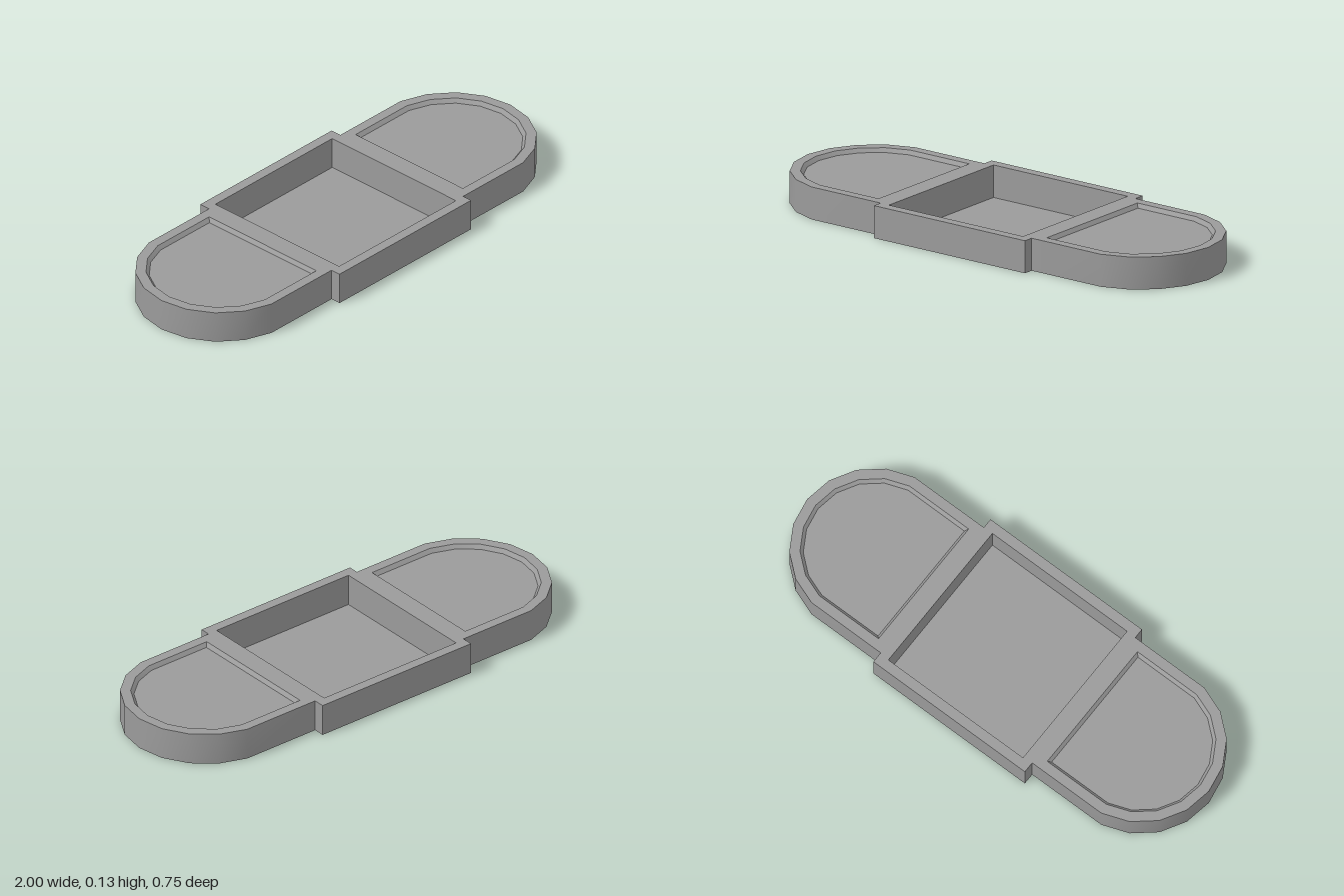
import * as THREE from 'three';
import { toCreasedNormals } from 'three/addons/utils/BufferGeometryUtils.js';

const TOP = 0.134;      // rim height
const PAN = 0.118;      // floor of the shallow end pans
const ARC = 0.663;      // centre of the rounded ends
const SHIFT = -0.002;   // the ends sit slightly forward of the centre block
const material = new THREE.MeshStandardMaterial({ color: 0x9b9b9b, side: THREE.DoubleSide });

const toPoints = pairs => pairs.map(p => new THREE.Vector2(...p));
const rectangle = (x, z) => toPoints([[-x, -z], [x, -z], [x, z], [-x, z]]);
const mirrored = points => points.map(p => new THREE.Vector2(-p.x, p.y)).reverse();

// Points of a rounded end, from one long side round to the other
function endArc(radius) {
  const pairs = [];
  for (let a = -80; a <= 80; a += 20) {
    const t = THREE.MathUtils.degToRad(a);
    pairs.push([ARC + radius * Math.cos(t), SHIFT + radius * Math.sin(t)]);
  }
  return pairs;
}

// Arc closed towards the middle by two straight sides ending at x = inner
function endOutline(radius, inner) {
  const arc = endArc(radius);
  return [[inner, arc[0][1]], ...arc, [inner, arc[arc.length - 1][1]]];
}

// Whole outline: two rounded ends and a wider centre block
function bodyOutline() {
  const half = toPoints([[0.377, -0.377], ...endOutline(0.337, 0.377), [0.377, 0.377]]);
  return [...half, ...mirrored(half)];
}

// Flat sheet facing up, with optional openings
function sheet(points, y, holes = []) {
  const shape = new THREE.Shape(points);
  shape.holes = holes.map(h => new THREE.Path(h));
  return new THREE.ShapeGeometry(shape).rotateX(-Math.PI / 2).translate(0, y, 0);
}

// Closed band between a lower and an upper outline
function band(lower, y0, upper, y1) {
  const n = lower.length, positions = [], index = [];
  for (let i = 0; i < n; i++) {
    positions.push(lower[i].x, y0, -lower[i].y, upper[i].x, y1, -upper[i].y);
    const a = 2 * i, b = 2 * ((i + 1) % n);
    index.push(a, b, b + 1, a, b + 1, a + 1);
  }
  const geometry = new THREE.BufferGeometry();
  geometry.setAttribute('position', new THREE.Float32BufferAttribute(positions, 3));
  geometry.setIndex(index);
  return toCreasedNormals(geometry, 0.6);
}

export function createModel() {
  const model = new THREE.Group();
  model.name = 'dividedTray';
  const add = (name, geometry) => {
    const mesh = new THREE.Mesh(geometry, material);
    mesh.name = name;
    model.add(mesh);
  };

  const body = bodyOutline();
  const well = rectangle(0.335, 0.335);
  const panTop = toPoints(endOutline(0.295, 0.42));
  const panFloor = toPoints(endOutline(0.282, 0.432));

  // Outer wall, open underneath, and the rim with three openings
  add('outerWall', band(body, 0, body, TOP));
  add('rim', sheet(body, TOP, [well, panTop, mirrored(panTop)]));

  // Deep square well in the middle
  add('wellWall', band(well, 0, well, TOP));
  add('wellFloor', sheet(well, 0));

  // Shallow pans with sloping sides at both ends
  for (const [side, place] of [['left', p => p], ['right', mirrored]]) {
    add(side + 'PanWall', band(place(panFloor), PAN, place(panTop), TOP));
    add(side + 'PanFloor', sheet(place(panFloor), PAN));
  }
  return model;
}
